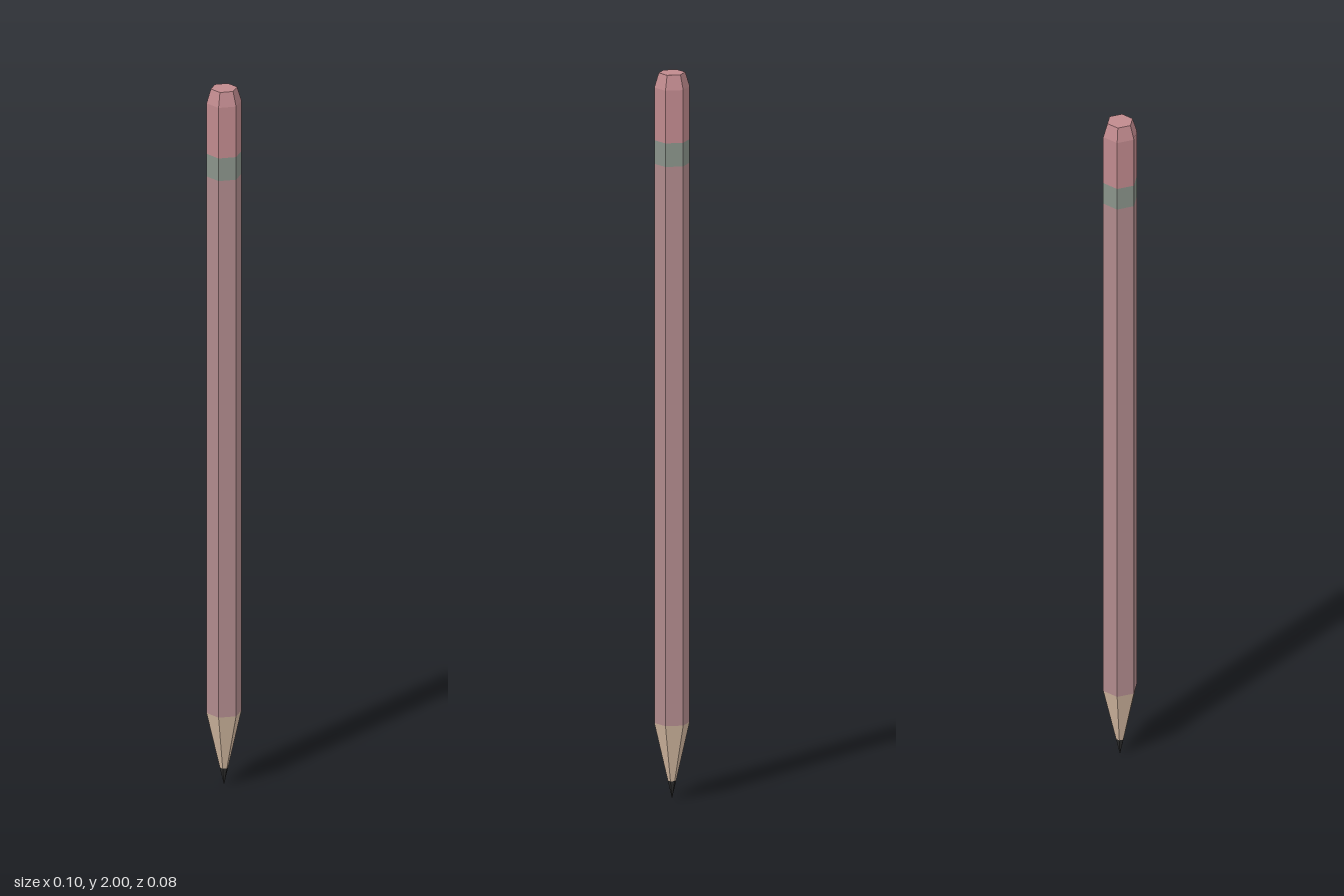
import * as THREE from 'three';

const SIDES = 6;
const RADIUS = 0.048;

// Hexagonal section between two heights, with corners on the x axis
function section(name, color, y0, y1, r0, r1, open = true) {
  const geometry = new THREE.CylinderGeometry(r1, r0, y1 - y0, SIDES, 1, open, Math.PI / 2);
  const material = new THREE.MeshStandardMaterial({ color, flatShading: true });
  const mesh = new THREE.Mesh(geometry, material);
  mesh.name = name;
  mesh.position.y = (y0 + y1) / 2;
  return mesh;
}

export function createModel() {
  const pencil = new THREE.Group();
  pencil.name = 'pencil';

  // Sharpened end: lead point and bare wood cone
  pencil.add(section('leadTip', 0x2c2c2c, 0, 0.05, 0, 0.0114));
  pencil.add(section('sharpenedWood', 0xd2b8a0, 0.05, 0.21, 0.0114, RADIUS));

  // Painted shaft and metal band
  pencil.add(section('shaft', 0xb08a8c, 0.21, 1.75, RADIUS, RADIUS));
  pencil.add(section('ferrule', 0x8a938a, 1.75, 1.815, RADIUS, RADIUS));

  // Eraser with a bevelled, flat end
  const eraser = new THREE.Group();
  eraser.name = 'eraser';
  eraser.add(section('eraserSide', 0xc08a8e, 1.815, 1.96, RADIUS, RADIUS));
  eraser.add(section('eraserBevel', 0xc08a8e, 1.96, 2, RADIUS, 0.036, false));
  pencil.add(eraser);

  return pencil;
}
